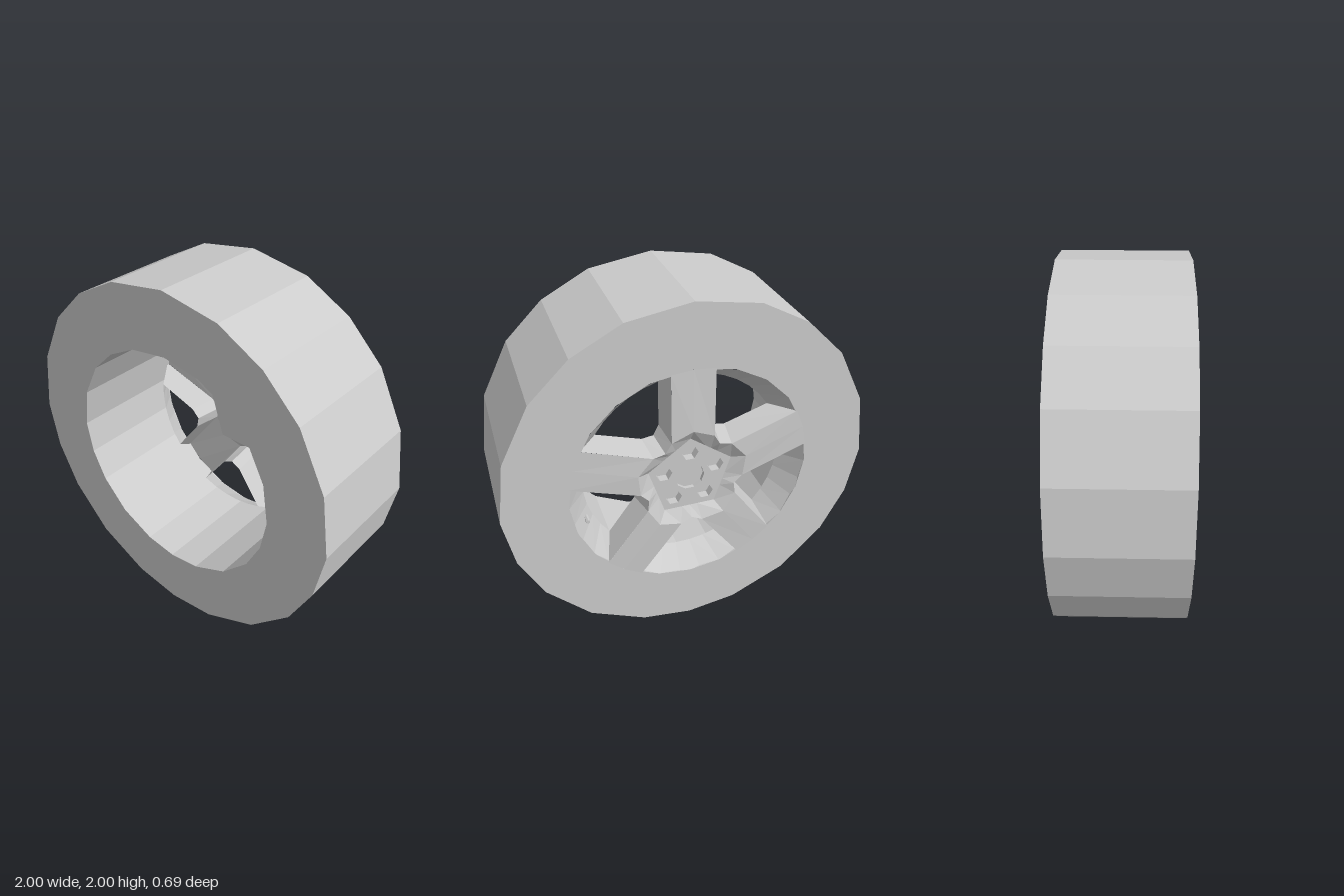
import * as THREE from 'three';

const material = new THREE.MeshStandardMaterial({ color: 0xcccccc, flatShading: true, side: THREE.DoubleSide });
const SPOKES = 5, STEP = Math.PI * 2 / SPOKES;
const FRONT = 0.345, BACK = -0.33;

function add(parent, name, geometry) {
  const mesh = new THREE.Mesh(geometry, material);
  mesh.name = name;
  parent.add(mesh);
  return mesh;
}

// Point at radius r and angle a
const polar = (r, a, z) => new THREE.Vector3(r * Math.cos(a), r * Math.sin(a), z);

// Point at distance s along a spoke axis and w to its side
function onSpoke(a, s, w, z) {
  const c = Math.cos(a), n = Math.sin(a);
  return new THREE.Vector3(s * c - w * n, s * n + w * c, z);
}

// Surface joining two rows of points
function loft(rowA, rowB, closed) {
  const pos = [], n = rowA.length;
  for (let i = 0; i < (closed ? n : n - 1); i++) {
    const j = (i + 1) % n;
    for (const p of [rowA[i], rowB[i], rowB[j], rowA[i], rowB[j], rowA[j]]) pos.push(p.x, p.y, p.z);
  }
  const g = new THREE.BufferGeometry();
  g.setAttribute('position', new THREE.Float32BufferAttribute(pos, 3));
  g.computeVertexNormals();
  return g;
}

// Outline of one opening between two spokes
function windowLoop(a, half, outerR, startS, notchR, z) {
  const lo = a - STEP / 2, hi = a + STEP / 2;
  const off = Math.asin(half / outerR);
  const pts = [polar(notchR, a, z), onSpoke(lo, startS, half, z)];
  for (let i = 0; i <= 5; i++) pts.push(polar(outerR, lo + off + (STEP - 2 * off) * i / 5, z));
  pts.push(onSpoke(hi, startS, -half, z));
  return pts;
}

function circlePath(x, y, r, sides) {
  const pts = [];
  for (let i = 0; i < sides; i++) {
    const a = i / sides * Math.PI * 2;
    pts.push(new THREE.Vector2(x + r * Math.cos(a), y + r * Math.sin(a)));
  }
  return new THREE.Path(pts);
}

// Open tube along z
function tube(r, sides, z0, z1) {
  const g = new THREE.CylinderGeometry(r, r, z1 - z0, sides, 1, true);
  g.rotateX(Math.PI / 2);
  g.rotateZ(Math.PI / 2);
  g.translate(0, 0, (z0 + z1) / 2);
  return g;
}

export function createModel() {
  const model = new THREE.Group();
  model.name = 'wheel';
  const wheel = new THREE.Group();
  wheel.name = 'wheelParts';
  wheel.position.y = 1;
  model.add(wheel);

  // Tyre with a straight bore
  const half = [[0, 1], [0.335, 0.945], [0.59, 0.81], [0.795, 0.61], [0.95, 0.31], [1, -0.03],
    [0.95, -0.31], [0.825, -0.565], [0.59, -0.81], [0.28, -0.96], [0, -1]];
  const outline = [...half, ...half.slice(1, -1).reverse().map(([x, y]) => [-x, y])]
    .map(([x, y]) => new THREE.Vector2(x, y));
  const tyreShape = new THREE.Shape(outline);
  tyreShape.holes.push(new THREE.Path(outline.map(p => p.clone().multiplyScalar(0.655))));
  const tyreGeo = new THREE.ExtrudeGeometry(tyreShape, { depth: FRONT - BACK, bevelEnabled: false });
  tyreGeo.translate(0, 0, BACK);
  add(wheel, 'tyre', tyreGeo);

  const floorZ = -0.3, plateZ = -0.255;
  const W = 0.115, S = 0.26;
  const rim = [], floor = [], plate = [];
  const pentagon = (r, t) => r * Math.cos(STEP / 2) / Math.cos(STEP / 2 - Math.abs(t));

  for (let k = 0; k < SPOKES; k++) {
    const a = Math.PI / 2 + k * STEP;

    // Spoke skin, bulging slightly toward the hub
    const inner = [onSpoke(a, S, -W, -0.342), onSpoke(a, 0.31, 0, -0.345), onSpoke(a, S, W, -0.342)];
    const outer = [-W, 0, W].map(w => onSpoke(a, Math.sqrt(0.655 ** 2 - w * w), w, BACK - 0.001));
    add(wheel, 'spoke', loft(outer, inner, false));

    // Drafted walls of the opening beside the spoke
    const mid = a + STEP / 2;
    const backLoop = windowLoop(mid, W, 0.655, S, 0.25, BACK);
    backLoop[0].z = -0.338;
    backLoop[1].z = backLoop[backLoop.length - 1].z = -0.342;
    const frontLoop = windowLoop(mid, 0.136, 0.555, 0.285, 0.28, -0.19);
    add(wheel, 'openingWall', loft(backLoop, frontLoop, true));

    // Hub cross-sections for this sector
    const t = Math.atan2(W, S);
    rim.push(...inner, polar(0.25, mid, -0.338));
    for (const d of [-t, 0, t, STEP / 2]) {
      floor.push(polar(pentagon(0.24, d), a + d, floorZ));
      plate.push(polar(pentagon(0.22, d), a + d, plateZ));
    }
  }

  // Dished hub, its floor with bolt holes, and the plate closing the front
  add(wheel, 'hubDish', loft(rim, floor, true));
  add(wheel, 'hubSkirt', loft(floor, plate, true));
  const floorShape = new THREE.Shape(floor.map(p => new THREE.Vector2(p.x, p.y)));
  floorShape.holes.push(circlePath(0, 0, 0.08, 10));
  for (let k = 0; k < SPOKES; k++) {
    const c = polar(0.15, Math.PI / 2 + k * STEP, 0);
    floorShape.holes.push(circlePath(c.x, c.y, 0.045, 6));
    add(wheel, 'boltHole', tube(0.045, 6, floorZ, plateZ)).position.set(c.x, c.y, 0);
  }
  const floorGeo = new THREE.ShapeGeometry(floorShape);
  floorGeo.translate(0, 0, floorZ);
  add(wheel, 'hubFloor', floorGeo);
  const plateGeo = new THREE.CircleGeometry(0.22, SPOKES, Math.PI / 2);
  plateGeo.translate(0, 0, plateZ);
  add(wheel, 'hubPlate', plateGeo);

  // Recessed centre cap and the small point on the front of the hub
  add(wheel, 'centreRecess', tube(0.08, 10, floorZ, -0.28));
  const capGeo = new THREE.CircleGeometry(0.08, 10);
  capGeo.translate(0, 0, -0.28);
  add(wheel, 'centreCap', capGeo);
  const pointGeo = new THREE.ConeGeometry(0.05, 0.015, 5);
  pointGeo.rotateX(Math.PI / 2);
  pointGeo.translate(0, 0, plateZ + 0.0075);
  add(wheel, 'hubPoint', pointGeo);

  // Valve on the rim
  const valveGeo = new THREE.CylinderGeometry(0.012, 0.012, 0.05, 6);
  valveGeo.rotateX(Math.PI / 2);
  add(wheel, 'valve', valveGeo).position.copy(polar(0.585, -Math.PI / 10, -0.255));

  return model;
}
